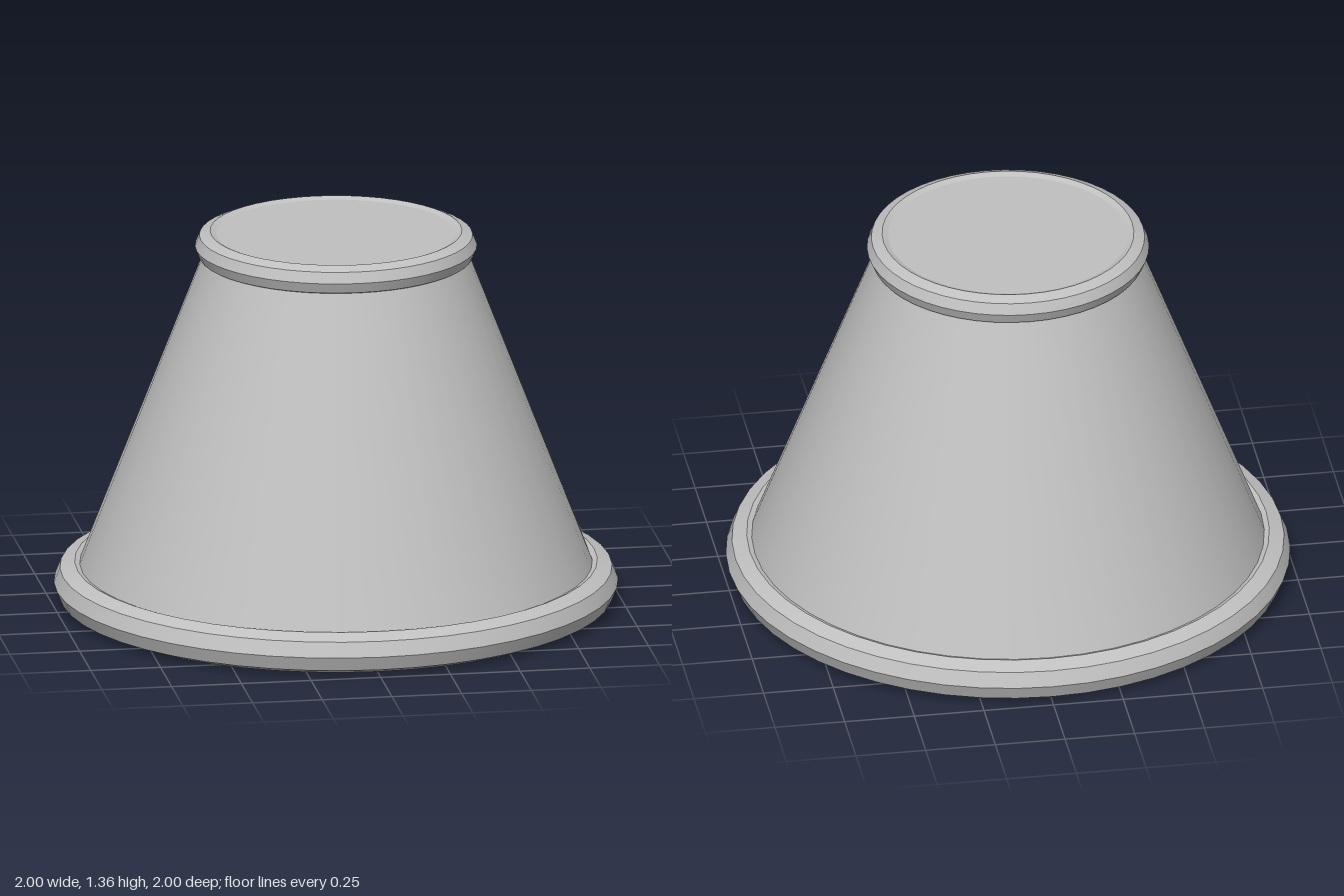
import * as THREE from 'three';
import { toCreasedNormals } from 'three/addons/utils/BufferGeometryUtils.js';

const SIDES = 48;

export function createModel() {
  const model = new THREE.Group();
  model.name = 'lampshade';
  const grey = new THREE.MeshStandardMaterial({ color: 0xc0c0c0 });
  grey.name = 'grey';

  function add(name, geometry, y) {
    const mesh = new THREE.Mesh(geometry, grey);
    mesh.name = name;
    mesh.position.y = y;
    model.add(mesh);
  }

  // Octagonal-section ring: creased around its section, smooth along its length
  function addRing(name, radius, tube, y) {
    const geometry = new THREE.TorusGeometry(radius, tube, 8, SIDES).rotateX(Math.PI / 2);
    add(name, toCreasedNormals(geometry, Math.PI / 6), y);
  }

  // Tapered wall, its ends hidden in the rings
  const low = 0.075, high = 1.31;
  add('shade', new THREE.CylinderGeometry(0.457, 0.934, high - low, SIDES, 1, true), (low + high) / 2);

  // Closing discs, nearly flush with the rings
  add('topCap', new THREE.CircleGeometry(0.43, SIDES).rotateX(-Math.PI / 2), 1.355);
  add('bottomCap', new THREE.CircleGeometry(0.92, SIDES).rotateX(Math.PI / 2), 0.006);

  // Rolled rims
  addRing('topRim', 0.446, 0.054, 1.31);
  addRing('bottomRim', 0.926, 0.074, 0.075);

  return model;
}
